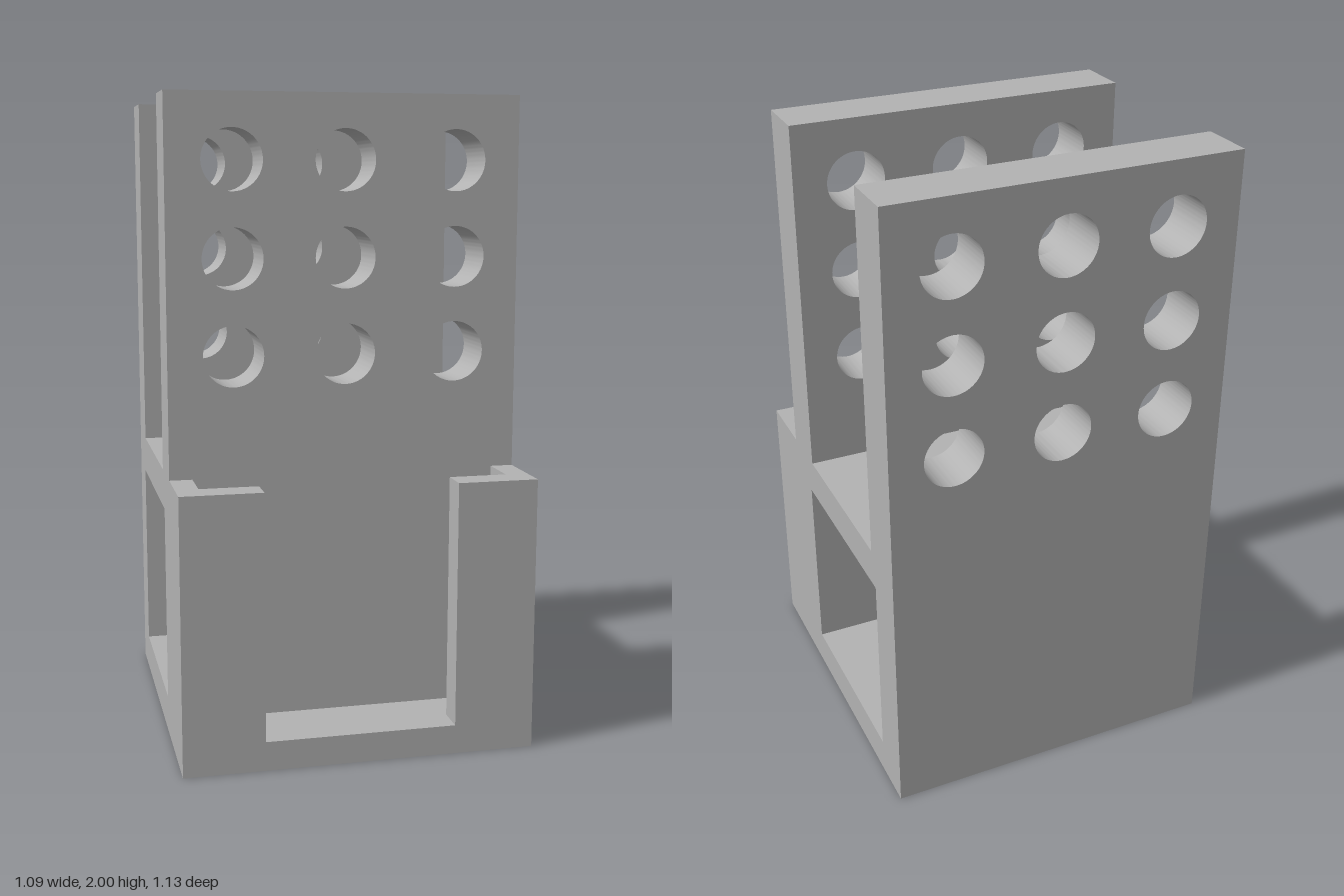
import * as THREE from 'three';
import { toCreasedNormals } from 'three/addons/utils/BufferGeometryUtils.js';

const HALF_W = 0.545, BACK = -0.565, FRONT = 0.565;
const BASE_H = 0.85, HEIGHT = 2;

const polygon = (pts, Type = THREE.Shape) => new Type(pts.map(([x, y]) => new THREE.Vector2(x, y)));

const extrude = (shape, depth) => toCreasedNormals(
  new THREE.ExtrudeGeometry(shape, { depth, bevelEnabled: false, curveSegments: 48 }), 0.5);

export function createModel() {
  const model = new THREE.Group();
  model.name = 'perforatedHolder';
  const grey = new THREE.MeshStandardMaterial({ color: 0xb2b2b2 });
  grey.name = 'grey';

  const add = (name, geometry) => {
    const mesh = new THREE.Mesh(geometry, grey);
    mesh.name = name;
    model.add(mesh);
  };

  // Base: side profile (drawn as -z, y) with a square tunnel running across the width
  const profile = polygon([
    [-FRONT, 0], [-BACK, 0], [-BACK, BASE_H], [-0.34, BASE_H], [-0.34, 0.09], [-FRONT, 0.09],
  ]);
  profile.holes.push(polygon([[-0.195, 0.115], [-0.195, 0.73], [0.415, 0.73], [0.415, 0.115]], THREE.Path));
  add('base', extrude(profile, HALF_W * 2).rotateY(Math.PI / 2).translate(-HALF_W, 0, 0));

  // Upright plates with a three by three grid of round holes
  const plate = polygon([[-HALF_W, BASE_H], [HALF_W, BASE_H], [HALF_W, HEIGHT], [-HALF_W, HEIGHT]]);
  for (const x of [-0.345, 0, 0.345]) {
    for (const y of [1.22, 1.512, 1.803]) {
      plate.holes.push(new THREE.Path().absarc(x, y, 0.093, 0, Math.PI * 2, true));
    }
  }
  add('backPlate', extrude(plate, 0.175).translate(0, 0, BACK));
  add('frontPlate', extrude(plate, 0.175).translate(0, 0, 0.165));

  // Front pocket: a side wall with an inward lip on each side (drawn as x, -z)
  for (const [name, s] of [['leftPocketWall', 1], ['rightPocketWall', -1]]) {
    const wall = polygon([
      [0.475, -0.34], [0.475, -0.475], [0.295, -0.475],
      [0.295, -FRONT], [HALF_W, -FRONT], [HALF_W, -0.34],
    ].map(([x, y]) => [s * x, y]));
    add(name, extrude(wall, BASE_H - 0.09).rotateX(-Math.PI / 2).translate(0, 0.09, 0));
  }

  return model;
}
